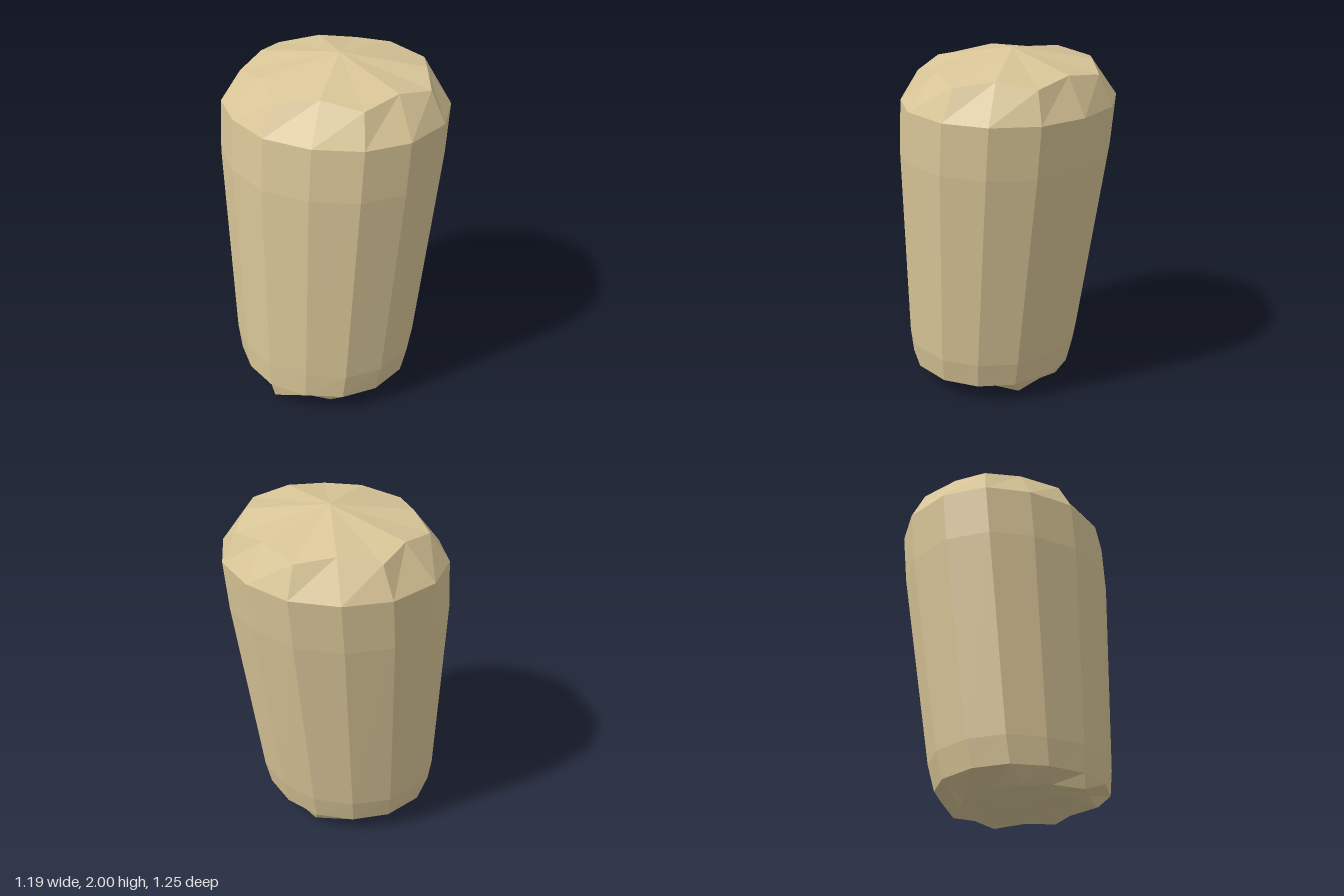
import * as THREE from 'three';

// widest cross-section (x, z), running from +x towards +z
const SECTION = [
  [0.595, 0.03], [0.54, 0.30], [0.37, 0.51], [0.135, 0.62], [-0.15, 0.60], [-0.37, 0.465], [-0.515, 0.235],
  [-0.57, -0.04], [-0.50, -0.305], [-0.36, -0.515], [-0.13, -0.625], [0.16, -0.61], [0.39, -0.47], [0.55, -0.245],
];
// rim of the caps: alternating corners and edge midpoints
const RIM = [
  [0.475, 0.03], [0.475, 0.26], [0.30, 0.39], [0.13, 0.53], [-0.07, 0.46], [-0.29, 0.40], [-0.37, 0.18],
  [-0.47, -0.03], [-0.36, -0.235], [-0.275, -0.44], [-0.06, -0.47], [0.15, -0.52], [0.31, -0.35], [0.48, -0.21],
];
const N = SECTION.length;

// scale a section about its middle and move it to (cx, y, cz)
function ring(section, y, sx, sz, cx, cz = 0, yEven = y) {
  return section.map(([x, z], i) => [(x - 0.0125) * sx + cx, i % 2 ? y : yEven, z * sz + cz]);
}

function surface(name, triangles, material) {
  const geometry = new THREE.BufferGeometry();
  geometry.setAttribute('position', new THREE.Float32BufferAttribute(triangles.flat(), 3));
  geometry.computeVertexNormals();
  const mesh = new THREE.Mesh(geometry, material);
  mesh.name = name;
  return mesh;
}

// wall between consecutive rings
function loft(rings) {
  const out = [];
  for (let r = 0; r < rings.length - 1; r++) {
    const lo = rings[r], hi = rings[r + 1];
    for (let i = 0; i < N; i++) {
      const j = (i + 1) % N;
      out.push(lo[i], hi[i], lo[j], lo[j], hi[i], hi[j]);
    }
  }
  return out;
}

// fan from a rim to a centre point
function fan(rim, centre, up) {
  return rim.flatMap((p, i) => {
    const q = rim[(i + 1) % N];
    return up ? [centre, q, p] : [centre, p, q];
  });
}

export function createModel() {
  const group = new THREE.Group();
  group.name = 'taperedPeg';
  const tan = new THREE.MeshStandardMaterial({ color: 0xd9c698, flatShading: true });
  tan.name = 'tan';

  const base = ring(RIM, 0.03, 0.9, 0.66, -0.145, 0.012, 0.045);
  const keel = ring(RIM, 0.01, 0.69, 0.2, -0.18);
  const top = ring(RIM, 1.885, 1, 1, 0.0125, 0, 1.92);

  // leaning, tapered body with bevelled ends
  const body = [
    base,
    ring(SECTION, 0.11, 0.81, 0.785, -0.1225, 0.012),
    ring(SECTION, 0.26, 0.845, 0.835, -0.1075, 0.01),
    ring(SECTION, 1.42, 0.995, 0.99, -0.015),
    ring(SECTION, 1.715, 1, 1, 0.0125),
    top,
  ];
  group.add(surface('body', loft(body), tan));

  // shallow pointed top and nearly flat underside
  group.add(surface('topCap', fan(top, [0.035, 2, 0], true), tan));
  group.add(surface('bottomCap', [...loft([keel, base]), ...fan(keel, [-0.15, 0, 0], false)], tan));
  return group;
}
